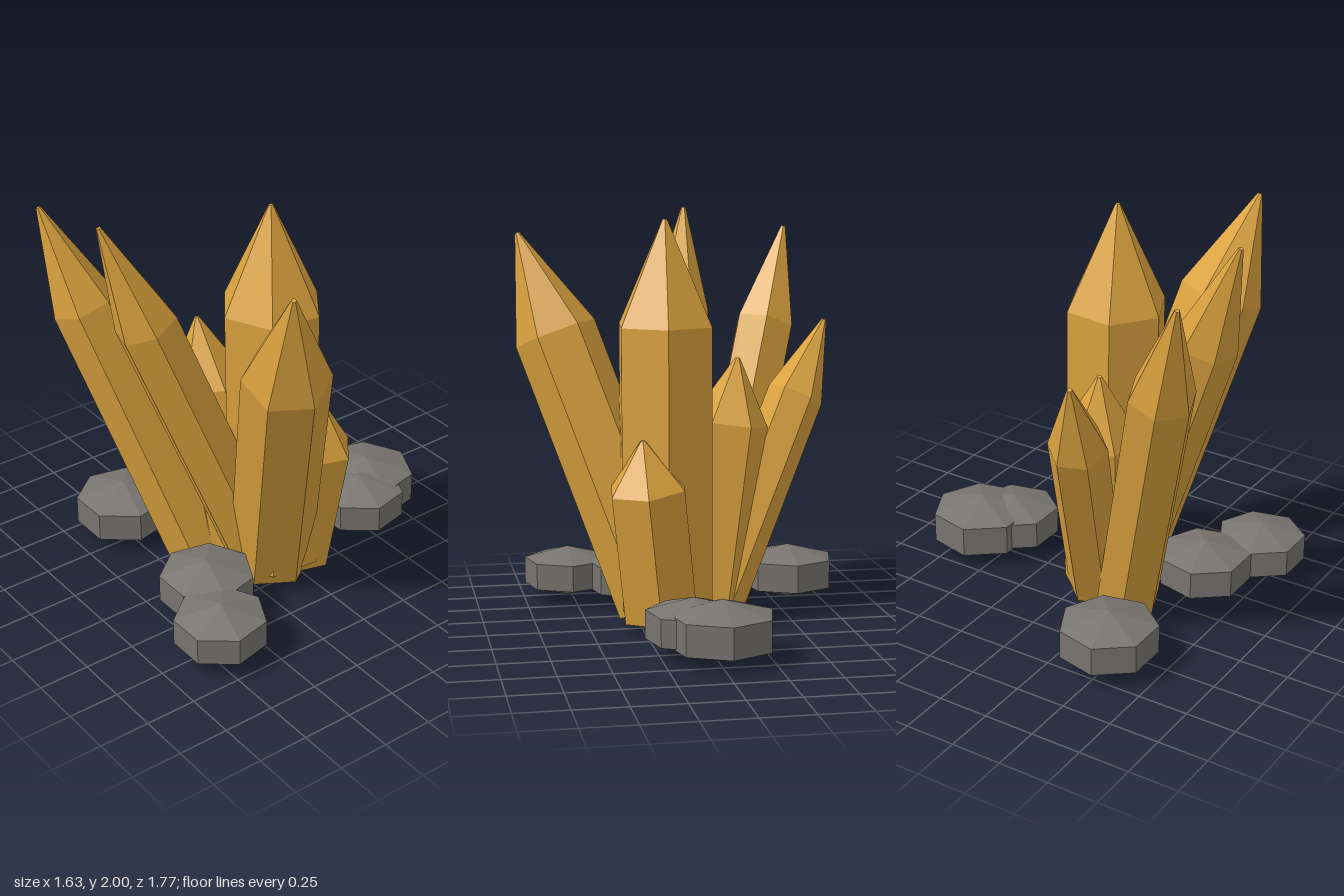
import * as THREE from 'three';

const amber = new THREE.MeshStandardMaterial({ color: 0xdaa23e });
amber.name = 'amber';
const stone = new THREE.MeshStandardMaterial({ color: 0x78746f });
stone.name = 'stone';

// Faceted solid turned from a few [radius, height] points
function facetedLathe(profile, sides, phiStart) {
  const points = profile.map(([r, y]) => new THREE.Vector2(r, y));
  const geometry = new THREE.LatheGeometry(points, sides, phiStart).toNonIndexed();
  geometry.computeVertexNormals();
  return geometry;
}

// Hexagonal prism with a long point, running from base to tip
function crystal(name, base, tip, radius, cornerDegrees) {
  const from = new THREE.Vector3(...base);
  const axis = new THREE.Vector3(...tip).sub(from);
  const length = axis.length();
  const geometry = facetedLathe(
    [[0, 0], [radius, 0], [radius, length * 0.73], [0.012, length], [0, length]],
    6, THREE.MathUtils.degToRad(90 - cornerDegrees));
  const mesh = new THREE.Mesh(geometry, amber);
  mesh.name = name;
  mesh.position.copy(from);
  mesh.quaternion.setFromUnitVectors(new THREE.Vector3(0, 1, 0), axis.normalize());
  return mesh;
}

// Seven-sided pebble with shallow points above and below
function rock(name, x, z, radius) {
  const geometry = facetedLathe(
    [[0, -0.575 * radius], [radius, -0.3 * radius], [radius, 0.3 * radius], [0, 0.575 * radius]],
    7, Math.PI);
  const mesh = new THREE.Mesh(geometry, stone);
  mesh.name = name;
  mesh.position.set(x, 0.15, z);
  return mesh;
}

export function createModel() {
  const model = new THREE.Group();
  model.name = 'crystalCluster';

  // Crystals: base, tip, radius, corner angle
  const crystals = [
    ['centreCrystal', [0.118, 0.1, 0.07], [0.12, 1.98, 0.08], 0.25, 36],
    ['frontCrystal', [0.115, 0.1, 0.15], [-0.11, 2.0, 0.85], 0.153, 15],
    ['leftCrystal', [0.15, 0.1, 0.1], [0.787, 1.9, 0.47], 0.205, 1],
    ['frontRightCrystal', [-0.165, 0.1, 0.33], [-0.637, 1.9, 0.84], 0.158, 40],
    ['rightCrystal', [-0.15, 0.1, 0.14], [-0.742, 1.455, 0.375], 0.14, 10],
    ['shortRightCrystal', [-0.1, 0.1, 0.15], [-0.268, 1.29, 0.228], 0.192, 8],
    ['shortBackCrystal', [0.16, 0.08, -0.02], [0.26, 0.945, -0.113], 0.2, 38],
  ];
  for (const c of crystals) model.add(crystal(...c));

  // Rocks around the foot: x, z, radius
  const rocks = [
    ['backRock', -0.02, -0.637, 0.252],
    ['smallBackRock', 0.09, -0.513, 0.225],
    ['frontRock', 0.215, 0.538, 0.23],
    ['frontLeftRock', 0.528, 0.685, 0.222],
    ['rightRock', -0.587, 0.482, 0.238],
  ];
  for (const r of rocks) model.add(rock(...r));

  return model;
}
